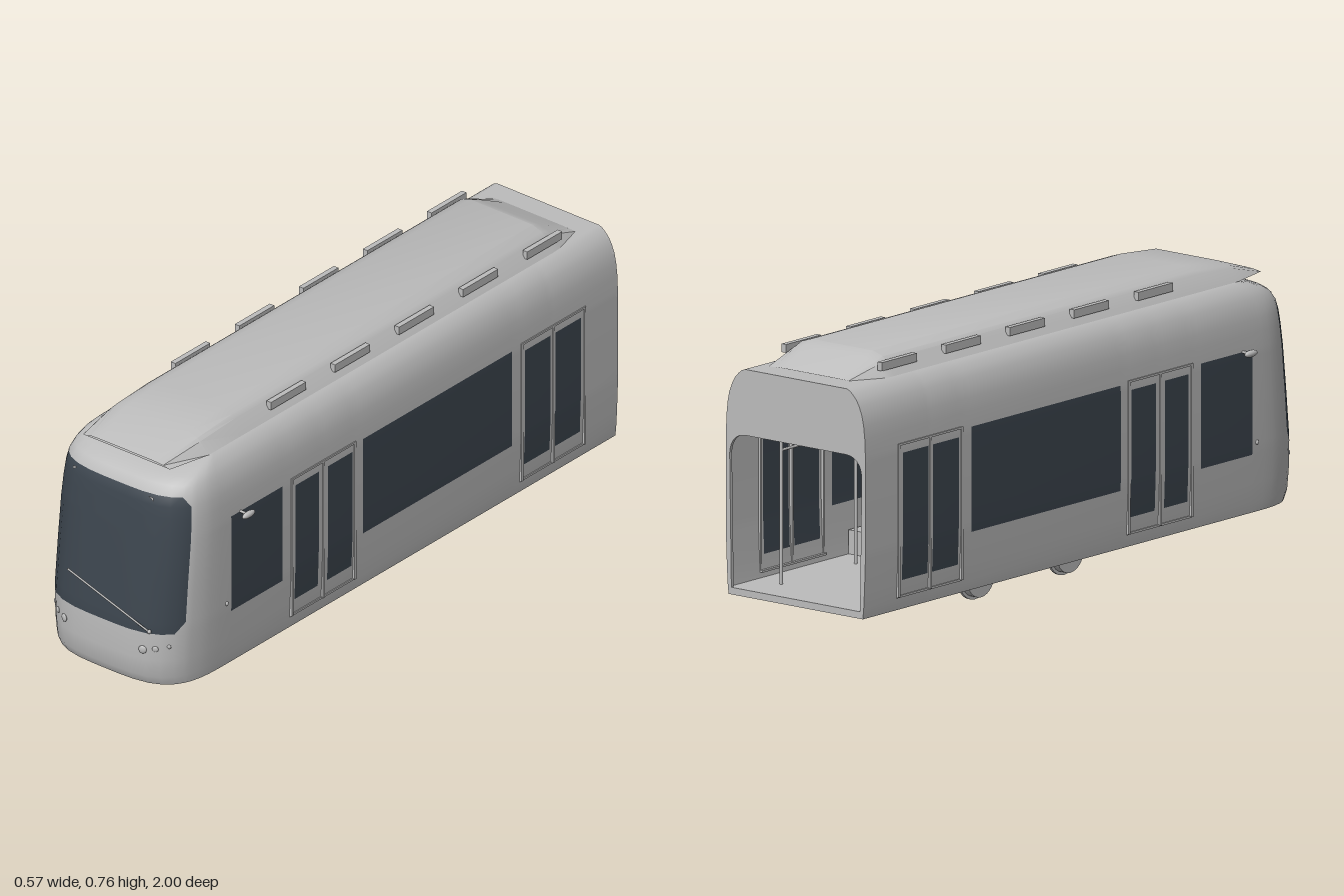
import * as THREE from 'three';
import { toCreasedNormals } from 'three/addons/utils/BufferGeometryUtils.js';

const NOSE_START = 0.66, NOSE_POWER = 3.5;

// distance of the rounded nose for a fraction f of the half-width
const noseZ = (f, front) =>
  NOSE_START + (front - NOSE_START) * Math.pow(1 - Math.pow(Math.abs(f), NOSE_POWER), 1 / NOSE_POWER);

// skin over rows of points; pick() returns [bodyTriangles, glassTriangles] of a cell
function skin(rows, pick) {
  const n = rows[0].length, lists = [[], []];
  for (let r = 0; r < rows.length - 1; r++) {
    for (let c = 0; c < n - 1; c++) {
      const a = r * n + c, b = a + 1, d = a + n, e = d + 1;
      pick(r, c, a, b, d, e).forEach((tris, i) => lists[i].push(...tris));
    }
  }
  const g = new THREE.BufferGeometry().setFromPoints(rows.flat());
  g.setIndex([...lists[0], ...lists[1]]);
  g.addGroup(0, lists[0].length, 0);
  g.addGroup(lists[0].length, lists[1].length, 1);
  g.computeVertexNormals();
  return g;
}

export function createModel() {
  const tram = new THREE.Group();
  tram.name = 'tramSection';
  const body = new THREE.MeshStandardMaterial({ color: 0xbcbcbc, side: THREE.DoubleSide });
  body.name = 'lightGrey';
  const glass = new THREE.MeshStandardMaterial({ color: 0x3c454e, side: THREE.DoubleSide });
  glass.name = 'darkGlass';

  const add = (name, geo, x = 0, y = 0, z = 0, mat = body, parent = tram) => {
    const m = new THREE.Mesh(geo, mat);
    m.name = name;
    m.position.set(x, y, z);
    parent.add(m);
    return m;
  };
  const box = (name, w, h, d, x, y, z) => add(name, new THREE.BoxGeometry(w, h, d), x, y, z);
  const rod = (name, r, ...pts) => add(name, new THREE.TubeGeometry(
    new THREE.LineCurve3(...pts.map(p => new THREE.Vector3(...p))), 1, r, 8));
  const drum = (name, r, len, x, y, z, sides = 28) =>
    add(name, new THREE.CylinderGeometry(r, r, len, sides).rotateZ(Math.PI / 2), x, y, z);

  // body shell: height, half-width, nose position
  const profile = [
    [0.062, 0.24, 0.9], [0.09, 0.243, 0.915], [0.145, 0.246, 0.92], [0.228, 0.249, 0.919],
    [0.26, 0.25, 0.915], [0.38, 0.25, 0.9], [0.505, 0.25, 0.882], [0.525, 0.249, 0.879],
    [0.57, 0.247, 0.872], [0.606, 0.243, 0.866], [0.635, 0.237, 0.858], [0.66, 0.227, 0.838],
    [0.677, 0.217, 0.805], [0.69, 0.205, 0.76], [0.7, 0.193, 0.71], [0.704, 0.182, 0.675]];
  const sideZ = [-1, -0.84, -0.73, -0.71, -0.6, -0.545, 0.095, 0.14, 0.245, 0.285, 0.385, 0.44, 0.66];
  const noseF = [0.999, 0.993, 0.98, 0.95, 0.92, 0.86, 0.75, 0.6, 0.4, 0.2];
  const outline = ([y, w, front]) => {
    const half = [...sideZ.map(z => [w, z]), ...noseF.map(f => [w * f, noseZ(f, front)])];
    const mirrored = half.map(([x, z]) => [-x, z]).reverse();
    return [...half, [0, front], ...mirrored].map(([x, z]) => new THREE.Vector3(x, y, z));
  };
  const rows = profile.map(outline);
  const last = rows[0].length - 2;
  const edge = sideZ.length + noseF.indexOf(0.92);
  const between = (v, lo, hi) => v >= lo && v < hi;

  const shell = skin(rows, (r, c, a, b, d, e) => {
    const y = profile[r][0], k = Math.min(c, last - c), isLeft = c === k;
    const whole = [a, d, b, b, d, e];
    if (k < sideZ.length - 1) {
      const doorPane = [1, 3, 7, 9].includes(k) && between(y, 0.145, 0.505);
      const sidePane = [5, 11].includes(k) && between(y, 0.228, 0.525);
      return doorPane || sidePane ? [[], whole] : [whole, []];
    }
    if (k < edge || !between(y, 0.228, 0.635)) return [whole, []];
    // windscreen with cut corners
    const low = y === 0.228, high = y === 0.606;
    if (k === edge && (low || high)) {
      if (low) return isLeft ? [[a, d, b], [b, d, e]] : [[a, e, b], [a, d, e]];
      return isLeft ? [[a, d, e], [a, e, b]] : [[b, d, e], [a, d, b]];
    }
    return [[], whole];
  });
  add('bodyShell', shell, 0, 0, 0, [body, glass]);

  // floor, ceiling and roof plates follow the body outline
  const plate = (name, row, thick, y, scale) => {
    const shape = new THREE.Shape(row.map(p => new THREE.Vector2(p.x * scale, -p.z * scale)));
    add(name, new THREE.ExtrudeGeometry(shape, { depth: thick, bevelEnabled: false }).rotateX(-Math.PI / 2), 0, y, 0);
  };
  plate('floor', rows[0], 0.02, 0.062, 0.999);
  plate('ceiling', rows[7], 0.006, 0.525, 0.99);
  plate('roofTop', rows[rows.length - 1], 0.002, 0.702, 1);

  // open rear end frame
  const frame = new THREE.Shape();
  profile.forEach(([y, w], i) => (i ? frame.lineTo(w, y) : frame.moveTo(w, y)));
  [...profile].reverse().forEach(([y, w]) => frame.lineTo(-w, y));
  const hole = new THREE.Path();
  hole.moveTo(-0.23, 0.082).lineTo(-0.236, 0.46);
  hole.quadraticCurveTo(-0.232, 0.515, -0.18, 0.518).lineTo(0.18, 0.518);
  hole.quadraticCurveTo(0.232, 0.515, 0.236, 0.46).lineTo(0.23, 0.082);
  frame.holes.push(hole);
  add('rearFrame', new THREE.ExtrudeGeometry(frame, { depth: 0.01, bevelEnabled: false }), 0, 0, -1);

  // roof equipment fairing: z, half-width, height
  const stations = [[-0.93, 0.155, 0.002], [-0.83, 0.183, 0.049], [-0.8, 0.185, 0.061],
    [0.53, 0.185, 0.061], [0.68, 0.185, 0.048], [0.81, 0.155, 0.006]];
  const section = [[-1, 0], [-0.84, 0.68], [-0.78, 0.82], [-0.6, 1], [0.6, 1], [0.78, 0.82], [0.84, 0.68], [1, 0], [-1, 0]];
  const podRows = stations.map(([z, w, h]) => section.map(([u, v]) => new THREE.Vector3(u * w, 0.704 + v * h, z)));
  const pod = skin(podRows, (r, c, a, b, d, e) => [[a, d, b, b, d, e], []]);
  add('roofFairing', toCreasedNormals(pod, 0.4));

  for (const s of [-1, 1]) {
    // vents along the fairing
    for (let i = 0; i < 5; i++) box('roofVent', 0.016, 0.024, 0.15, s * 0.171, 0.737, 0.33 - i * 0.275);

    // door frames and inside grab rails
    for (const z of [0.265, -0.722]) {
      for (const dz of [-0.135, 0, 0.135]) box('doorPost', 0.01, 0.43, 0.007, s * 0.247, 0.315, z + dz);
      box('doorHeader', 0.01, 0.006, 0.277, s * 0.247, 0.53, z);
      box('doorSill', 0.012, 0.006, 0.277, s * 0.241, 0.1, z);
      for (const dz of [-0.16, 0.16]) rod('grabPole', 0.005, [s * 0.15, 0.08, z + dz], [s * 0.15, 0.526, z + dz]);
      rod('grabRail', 0.004, [s * 0.15, 0.46, z - 0.16], [s * 0.15, 0.46, z + 0.16]);
    }
    box('wheelCover', 0.1, 0.07, 0.52, s * 0.19, 0.115, -0.225);

    // mirrors
    rod('mirrorArm', 0.004, [s * 0.245, 0.525, 0.62], [s * 0.28, 0.525, 0.62]);
    add('mirror', new THREE.SphereGeometry(0.01, 16, 12).scale(0.9, 1, 2.6), s * 0.278, 0.525, 0.62);
    add('sideLamp', new THREE.SphereGeometry(0.007, 12, 8), s * 0.248, 0.26, 0.68);

    // headlights
    for (const [x, y, r] of [[0.14, 0.175, 0.012], [0.174, 0.182, 0.009], [0.204, 0.19, 0.006]]) {
      const lamp = add('headlight', new THREE.SphereGeometry(r, 16, 10).scale(1, 1, 0.4),
        s * x, y, noseZ(x / 0.2475, 0.92));
      lamp.rotation.y = s * x * 2.5;
    }

    // small brackets at the top of the windscreen
    const tab = new THREE.Shape([[0, 0], [s * 0.018, 0], [s * 0.018, -0.012]].map(p => new THREE.Vector2(...p)));
    add('screenBracket', new THREE.ShapeGeometry(tab), s * 0.126, 0.636, 0.868);

    // wheels and brake discs
    for (const z of [-0.035, -0.418]) {
      drum('wheelTread', 0.058, 0.026, s * 0.165, 0.068, z);
      drum('wheelFlange', 0.067, 0.008, s * 0.152, 0.068, z);
    }
    for (const z of [-0.13, -0.325]) drum('brakeDisc', 0.032, 0.008, s * 0.1, 0.057, z, 20);
  }

  // axles and motors
  for (const z of [-0.035, -0.418]) drum('axle', 0.008, 0.3, 0, 0.06, z, 12);
  for (const z of [-0.125, -0.325]) drum('motor', 0.018, 0.15, -0.015, 0.056, z, 16);

  // windscreen wiper
  rod('wiper', 0.003, [0.16, 0.235, 0.905], [-0.055, 0.398, 0.998]);
  add('wiperPivot', new THREE.SphereGeometry(0.006, 12, 8), 0.16, 0.236, 0.905);

  // driver's desk
  box('driverDesk', 0.36, 0.12, 0.12, 0, 0.14, 0.74);
  return tram;
}
